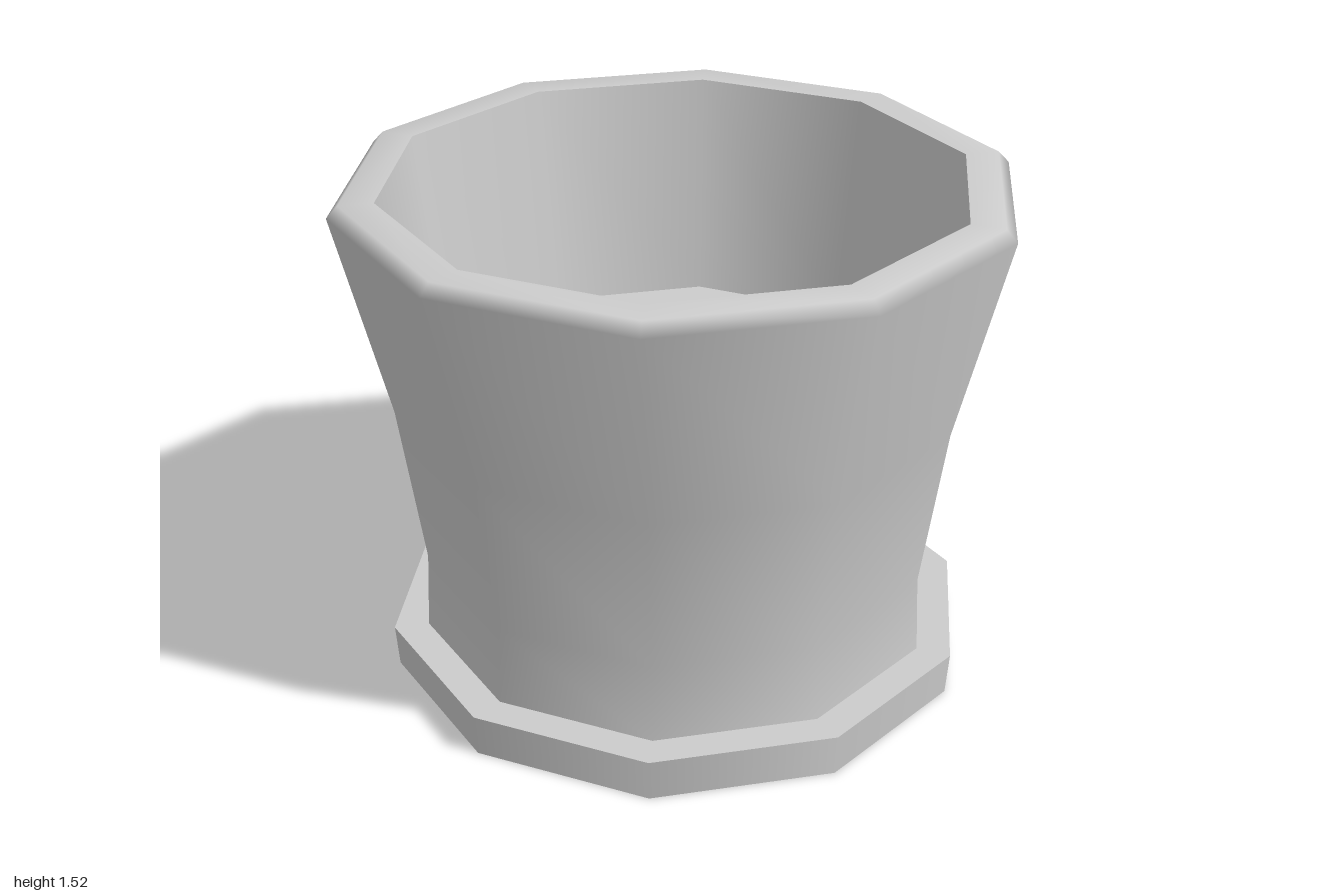
import * as THREE from 'three';

const SIDES = 10;

export function createModel() {
  const model = new THREE.Group();
  model.name = 'plantPot';
  const clay = new THREE.MeshStandardMaterial({ name: 'paleGrey', color: 0xcccccc });

  const add = (name, geometry) => {
    const mesh = new THREE.Mesh(geometry, clay);
    mesh.name = name;
    model.add(mesh);
    return mesh;
  };
  // Ten-sided turned surface; profile points are [radius, height]
  const turned = (name, profile) =>
    add(name, new THREE.LatheGeometry(profile.map(([r, y]) => new THREE.Vector2(r, y)), SIDES));

  // Shallow saucer under the pot
  add('saucer', new THREE.CylinderGeometry(0.89, 0.88, 0.13, SIDES)).position.y = 0.065;

  // Flared outside, running smoothly over the bevelled rim
  turned('outerWall', [
    [0.785, 0.13], [0.775, 0.37], [0.847, 0.87], [1.0, 1.49], [0.967, 1.525], [0.865, 1.525],
  ]);

  // Tapered inside, meeting the rim and floor at sharp edges
  turned('innerWall', [[0.865, 1.525], [0.776, 0.84]]);
  turned('innerFloor', [[0.776, 0.84], [0, 0.84]]);

  return model;
}
